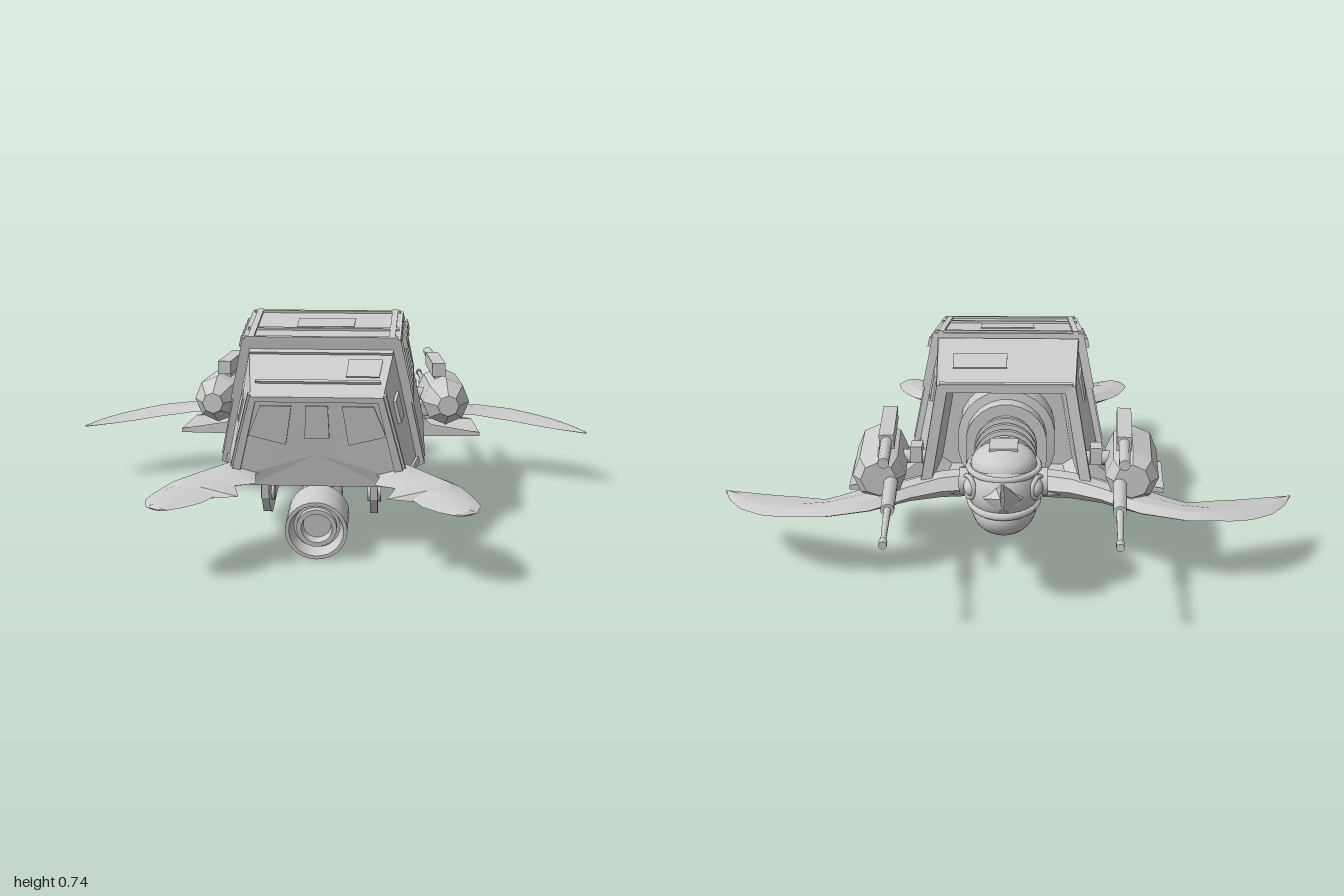
import * as THREE from 'three';
import { toCreasedNormals } from 'three/addons/utils/BufferGeometryUtils.js';

const grey = new THREE.MeshStandardMaterial({ color: 0xcccccc });
grey.name = 'hull grey';

// Closed skin through rings of [x, y, z]; faces are turned outward by signed volume
function loft(rings, crease = 0.5) {
  const P = [], n = rings[0].length;
  for (let k = 0; k + 1 < rings.length; k++) for (let i = 0; i < n; i++) {
    const j = (i + 1) % n, a = rings[k][i], b = rings[k][j], c = rings[k + 1][j], d = rings[k + 1][i];
    P.push(a, b, c, a, c, d);
  }
  const cap = (r, flip) => {
    const m = [0, 1, 2].map(q => r.reduce((s, p) => s + p[q], 0) / n);
    r.forEach((p, i) => { const o = r[(i + 1) % n]; flip ? P.push(m, o, p) : P.push(m, p, o); });
  };
  cap(rings[0], true);
  cap(rings[rings.length - 1], false);
  let vol = 0;
  const V = P.map(p => new THREE.Vector3(...p));
  for (let i = 0; i < V.length; i += 3) vol += V[i].dot(V[i + 1].clone().cross(V[i + 2]));
  if (vol < 0) for (let i = 0; i < V.length; i += 3) [V[i + 1], V[i + 2]] = [V[i + 2], V[i + 1]];
  return toCreasedNormals(new THREE.BufferGeometry().setFromPoints(V), crease);
}
const mirrorRing = half => [...half, ...half.map(([x, y, z]) => [-x, y, z]).reverse()];
const flipX = (p, s) => [p[0] * s, p[1], p[2]];

// Upright stadium cross-section
function stadium(z, w, y0, y1, lean = 0) {
  const r = [];
  for (let i = 0; i < 24; i++) {
    const a = (i + 0.5) / 24 * Math.PI * 2, y = (Math.sin(a) > 0 ? y1 - w : y0 + w) + w * Math.sin(a);
    r.push([w * Math.cos(a), y, z + lean * (y - y0)]);
  }
  return r;
}

export function createModel() {
  const root = new THREE.Group();
  const add = (name, geo, parent = root, pos = [0, 0, 0], rot = [0, 0, 0]) => {
    const m = new THREE.Mesh(geo, grey);
    m.name = name;
    m.position.set(...pos);
    m.rotation.set(...rot);
    parent.add(m);
    return m;
  };
  const box = (...s) => new THREE.BoxGeometry(...s);
  const lathe = (pts, n, flat) => {
    const g = new THREE.LatheGeometry(pts.map(p => new THREE.Vector2(...p)), n).rotateX(Math.PI / 2);
    return toCreasedNormals(g, flat ? 0.1 : 0.5);
  };

  // Thin raised plate on part of a four-cornered wall
  const plate = (name, [a, b, c, d], u0, u1, v0, v1, h = 0.008) => {
    const at = (u, v) => new THREE.Vector3(...[0, 1, 2].map(q =>
      (a[q] * (1 - u) + b[q] * u) * (1 - v) + (d[q] * (1 - u) + c[q] * u) * v));
    const p = [at(u0, v0), at(u1, v0), at(u1, v1), at(u0, v1)];
    const n = p[2].clone().sub(p[0]).cross(p[3].clone().sub(p[1])).normalize();
    if (n.dot(p[0].clone().sub(new THREE.Vector3(0, 0.42, 0.14))) < 0) n.negate();
    add(name, loft([-0.004, h].map(o => p.map(q => q.clone().addScaledVector(n, o).toArray())), 0.1));
  };

  // Hull: half sections from roof corner to widest edge to belly edge
  const rearEnd = [[0.21, 0.535, 0.61], [0.285, 0.25, 0.57], [0.22, 0.225, 0.56]];
  const rearStart = [[0.24, 0.64, 0.39], [0.325, 0.25, 0.33], [0.25, 0.21, 0.32]];
  const midRear = [[0.255, 0.68, 0.395], [0.35, 0.245, 0.33], [0.26, 0.205, 0.32]];
  const midFront = [[0.265, 0.728, 0.02], [0.35, 0.32, -0.03], [0.26, 0.19, -0.04]];
  const noseRear = [[0.245, 0.712, 0.01], [0.33, 0.31, -0.03], [0.26, 0.22, -0.04]];
  const noseFront = [[0.225, 0.645, -0.325], [0.285, 0.3, -0.36], [0.24, 0.265, -0.365]];
  const noseInset = [[0.2, 0.62, -0.325], [0.255, 0.31, -0.355], [0.22, 0.285, -0.36]];
  const noseDeep = [[0.18, 0.62, -0.14], [0.235, 0.31, -0.14], [0.2, 0.285, -0.14]];
  const hull = (name, ...r) => add(name, loft(r.map(mirrorRing), 0.1));
  hull('rearHull', rearEnd, rearStart);
  hull('middleHull', midRear, midFront);
  hull('frontHull', noseRear, noseFront, noseInset, noseDeep);

  // Side wall panels, ribs, windows and vents
  for (const s of [1, -1]) {
    const wall = (r, f, k = 0) => [r[k], f[k], f[k + 1], r[k + 1]].map(p => flipX(p, s));
    const mid = wall(midRear, midFront), rear = wall(rearEnd, rearStart), nose = wall(noseRear, noseFront);
    const low = wall(midRear, midFront, 1);
    plate('sideRail', mid, 0, 1, 0.46, 0.49);
    plate('sideLowerPanel', mid, 0.05, 0.95, 0.52, 0.96, 0.005);
    plate('sideRoofEdge', mid, 0, 1, 0, 0.03);
    for (const u of [0, 0.2, 0.4, 0.6, 0.8, 0.98]) plate('sideRib', mid, u, u + 0.018, 0.03, 0.46);
    for (const u of [0.27, 0.47, 0.67, 0.87]) plate('sideHinge', mid, u, u + 0.06, 0.06, 0.14, 0.02);
    plate('sideHatch', mid, 0.83, 0.95, 0.27, 0.42);
    for (const u of [0.6, 0.69, 0.78]) plate('lowerVent', low, u, u + 0.05, 0.25, 0.7);
    plate('rearSideWindow', rear, 0.42, 0.68, 0.25, 0.48);
    plate('rearSideTrim', rear, 0, 1, 0.95, 1);
    plate('rearSideTrim', rear, 0, 0.05, 0, 0.95);
    plate('frontSideWindow', nose, 0.2, 0.42, 0.18, 0.42);
    plate('frontSideTrim', nose, 0.95, 1, 0, 1);
    plate('frontSideTrim', nose, 0, 0.95, 0.0, 0.04);
  }

  // Roof seams and hatches
  const roof = (r, f) => [r[0], f[0], flipX(f[0], -1), flipX(r[0], -1)];
  const midRoof = roof(midRear, midFront), rearRoof = roof(rearEnd, rearStart), noseRoof = roof(noseRear, noseFront);
  for (const u of [0, 0.3, 0.93]) plate('roofSeam', midRoof, u, u + 0.04, 0, 1);
  for (const v of [0.02, 0.94]) plate('roofRail', midRoof, 0, 1, v, v + 0.04);
  plate('roofHatch', midRoof, 0.4, 0.7, 0.3, 0.68, 0.004);
  plate('rearRoofSeam', rearRoof, 0.25, 0.3, 0.04, 0.96);
  plate('rearRoofSeam', rearRoof, 0.92, 1, 0, 1);
  plate('rearRoofPanel', rearRoof, 0.4, 0.8, 0.06, 0.3, 0.004);
  plate('frontRoofPanel', noseRoof, 0.35, 0.65, 0.1, 0.5, 0.004);
  plate('frontRoofLip', noseRoof, 0.96, 1, 0, 1);

  // Tail wall: frame and three windows
  const tail = [flipX(rearEnd[0], -1), rearEnd[0], rearEnd[1], flipX(rearEnd[1], -1)];
  plate('tailFrame', tail, 0, 0.05, 0, 1, 0.02);
  plate('tailFrame', tail, 0.95, 1, 0, 1, 0.02);
  plate('tailFrame', tail, 0.05, 0.95, 0, 0.06, 0.02);
  plate('tailWindow', tail, 0.42, 0.58, 0.12, 0.5);
  for (const s of [1, -1]) {
    const w = [[0.08, 0.5], [0.18, 0.5], [0.22, 0.4], [0.1, 0.37]];
    const at = o => w.map(([x, y]) => [x * s, y, 0.57 + (y - 0.25) * 0.14 + o]);
    add('tailSideWindow', loft([at(-0.005), at(0.008)], 0.1));
  }

  // Neck trunk with stepped collar and bellows
  const neck = [stadium(0.07, 0.05, 0.18, 0.4), stadium(0.04, 0.08, 0.155, 0.45), stadium(-0.13, 0.1, 0.15, 0.53),
    stadium(-0.32, 0.1, 0.145, 0.53)];
  for (let i = 0; i < 5; i++) {
    const z = -0.335 - i * 0.027, t = i * 0.012;
    neck.push(stadium(z, 0.107, 0.14 + t * 0.5, 0.54 - t), stadium(z - 0.015, 0.107, 0.14 + t * 0.5, 0.54 - t),
      stadium(z - 0.017, 0.09, 0.16 + t * 0.5, 0.515 - t), stadium(z - 0.026, 0.09, 0.16 + t * 0.5, 0.515 - t));
  }
  neck.push(stadium(-0.52, 0.08, 0.25, 0.46));
  add('neck', loft(neck));
  add('neckCollar', loft([stadium(-0.13, 0.17, 0.22, 0.6), stadium(-0.24, 0.17, 0.22, 0.6),
    stadium(-0.245, 0.14, 0.2, 0.57), stadium(-0.3, 0.14, 0.2, 0.57)]));

  // Head: skull, jaw, helmet band, beak, eyes
  const ball = (rx, ry, rz) => new THREE.SphereGeometry(1, 24, 16).scale(rx, ry, rz);
  add('skull', ball(0.12, 0.118, 0.145), root, [0, 0.415, -0.6]);
  add('jaw', ball(0.105, 0.085, 0.14), root, [0, 0.335, -0.595]);
  add('mouthLine', new THREE.TorusGeometry(0.108, 0.012, 6, 28).rotateX(Math.PI / 2).scale(1, 1, 1.25), root, [0, 0.36, -0.6]);
  add('helmet', ball(0.105, 0.06, 0.115), root, [0, 0.485, -0.595]);
  add('helmetBand', new THREE.TorusGeometry(0.112, 0.01, 6, 28).rotateX(Math.PI / 2).scale(1, 1, 1.1), root, [0, 0.475, -0.595]);
  add('helmetPlate', box(0.09, 0.01, 0.09), root, [0, 0.541, -0.59]);
  add('beak', loft([
    [[0.03, 0.48, -0.66], [0.1, 0.43, -0.66], [0.05, 0.35, -0.66]],
    [[0.02, 0.455, -0.735], [0.055, 0.42, -0.735], [0.02, 0.36, -0.72]],
    [[0.003, 0.495, -0.79], [0.006, 0.44, -0.78], [0.003, 0.4, -0.765]]].map(mirrorRing), 0.3));
  for (const s of [1, -1]) {
    add('eye', ball(0.025, 0.03, 0.035), root, [s * 0.1, 0.43, -0.665]);
    add('eyeRing', new THREE.TorusGeometry(0.035, 0.008, 6, 16), root, [s * 0.108, 0.43, -0.665], [0, s * 2.1, 0]);
    add('cheekGuard', new THREE.CylinderGeometry(0.045, 0.045, 0.03, 12).rotateZ(Math.PI / 2), root, [s * 0.125, 0.43, -0.62]);
  }

  // Flippers: [lead x, z, trail x, z, y, thickness] per station
  const flipper = (name, st, s) => add(name, loft(st.map(([a, b, c, d, y, t]) => {
    const at = (k, h) => [s * (a + (c - a) * k), y + h * t, b + (d - b) * k];
    return [at(0, 0), at(0.2, 0.45), at(0.5, 0.5), at(1, 0), at(0.5, -0.5), at(0.2, -0.45)];
  }), 0.35));
  const front = [[0.12, -0.36, 0.12, -0.18, 0.28, 0.09], [0.22, -0.39, 0.24, -0.22, 0.285, 0.08],
    [0.32, -0.43, 0.36, -0.28, 0.28, 0.06], [0.45, -0.52, 0.48, -0.33, 0.272, 0.045],
    [0.6, -0.55, 0.57, -0.38, 0.262, 0.035], [0.75, -0.53, 0.62, -0.39, 0.252, 0.03],
    [0.82, -0.5, 0.73, -0.35, 0.243, 0.026], [0.9, -0.44, 0.8, -0.325, 0.235, 0.022],
    [0.96, -0.355, 0.88, -0.295, 0.228, 0.018], [1, -0.265, 0.99, -0.26, 0.222, 0.006]];
  const back = [[0.27, 0.42, 0.13, 0.46, 0.265, 0.05], [0.35, 0.56, 0.2, 0.59, 0.268, 0.05],
    [0.42, 0.62, 0.185, 0.68, 0.265, 0.045], [0.455, 0.67, 0.25, 0.7, 0.262, 0.04], [0.475, 0.72, 0.225, 0.8, 0.257, 0.035],
    [0.495, 0.78, 0.3, 0.79, 0.253, 0.03], [0.505, 0.83, 0.33, 0.85, 0.25, 0.026],
    [0.49, 0.885, 0.38, 0.89, 0.246, 0.02], [0.45, 0.905, 0.42, 0.905, 0.243, 0.006]];

  // Gun pods with bracket, arm and twin barrels
  const rod = (r0, r1, l, n = 10) => new THREE.CylinderGeometry(r0, r1, l, n).rotateX(-Math.PI / 2);
  for (const s of [1, -1]) {
    flipper('frontFlipper', front, s);
    flipper('rearFlipper', back, s);
    const gun = new THREE.Group();
    gun.name = 'gunPod';
    gun.position.set(s * 0.435, 0.36, -0.27);
    gun.rotation.y = s * 0.068;
    root.add(gun);
    add('podBody', lathe([[0, -0.19], [0.06, -0.19], [0.09, -0.15], [0.09, 0.1], [0.045, 0.175], [0.04, 0.19], [0, 0.19]], 8, true), gun);
    add('lowerBarrelSleeve', rod(0.022, 0.025, 0.3), gun, [-s * 0.04, -0.015, -0.25]);
    add('lowerBarrel', rod(0.008, 0.013, 0.28), gun, [-s * 0.04, -0.015, -0.5]);
    add('lowerMuzzle', rod(0.013, 0.013, 0.03), gun, [-s * 0.04, -0.015, -0.626]);
    add('upperHousing', box(0.05, 0.05, 0.28), gun, [-s * 0.03, 0.125, -0.03]);
    add('upperBarrel', rod(0.018, 0.02, 0.2), gun, [-s * 0.03, 0.125, -0.25]);
    add('upperMount', box(0.035, 0.06, 0.12), gun, [-s * 0.02, 0.085, -0.03]);
    add('gunArm', new THREE.CylinderGeometry(0.025, 0.025, 0.16, 10).rotateZ(Math.PI / 2), root, [s * 0.34, 0.37, -0.28]);
    add('armKnuckle', box(0.04, 0.06, 0.06), root, [s * 0.31, 0.39, -0.29]);
    const bracket = (z, w) => [[0.27, 0.36], [0.3, 0.36], [0.37, 0.265], [w, 0.265], [w, 0.25], [0.36, 0.25], [0.27, 0.32]]
      .map(([x, y]) => [s * x, y, z + (x - 0.3) * -0.05]);
    add('gunBracket', loft([bracket(-0.05, 0.565), bracket(-0.29, 0.55)], 0.1));

    // Teardrop fin beside the engine
    const shape = new THREE.Shape([[0.5, 0.24], [0.49, 0.16], [0.44, 0.1], [0.38, 0.08], [0.2, 0.115], [0.15, 0.13],
      [0.15, 0.165], [0.3, 0.225], [0.38, 0.24]].map(p => new THREE.Vector2(...p)));
    const fin = new THREE.ExtrudeGeometry(shape, { depth: 0.025, bevelEnabled: false }).rotateY(-Math.PI / 2);
    add('engineFin', fin, root, [s * 0.18 + 0.0125, 0, 0]);
    add('finHub', new THREE.CylinderGeometry(0.03, 0.03, 0.045, 14).rotateZ(Math.PI / 2), root, [s * 0.18, 0.16, 0.4]);
  }

  // Tilted engine with nested nozzle rings
  add('engine', lathe([[0, -0.42], [0.04, -0.41], [0.06, -0.36], [0.083, -0.08], [0.09, -0.07], [0.1, -0.065], [0.1, 0.08],
    [0.088, 0.08], [0.075, 0.04], [0.065, 0.04], [0.065, 0.06], [0.05, 0.06], [0.045, 0.03], [0, 0.03]], 28),
  root, [0, 0.11, 0.565], [0.13, 0, 0]);
  add('enginePylon', box(0.09, 0.1, 0.24), root, [0, 0.2, 0.36]);
  return root;
}
